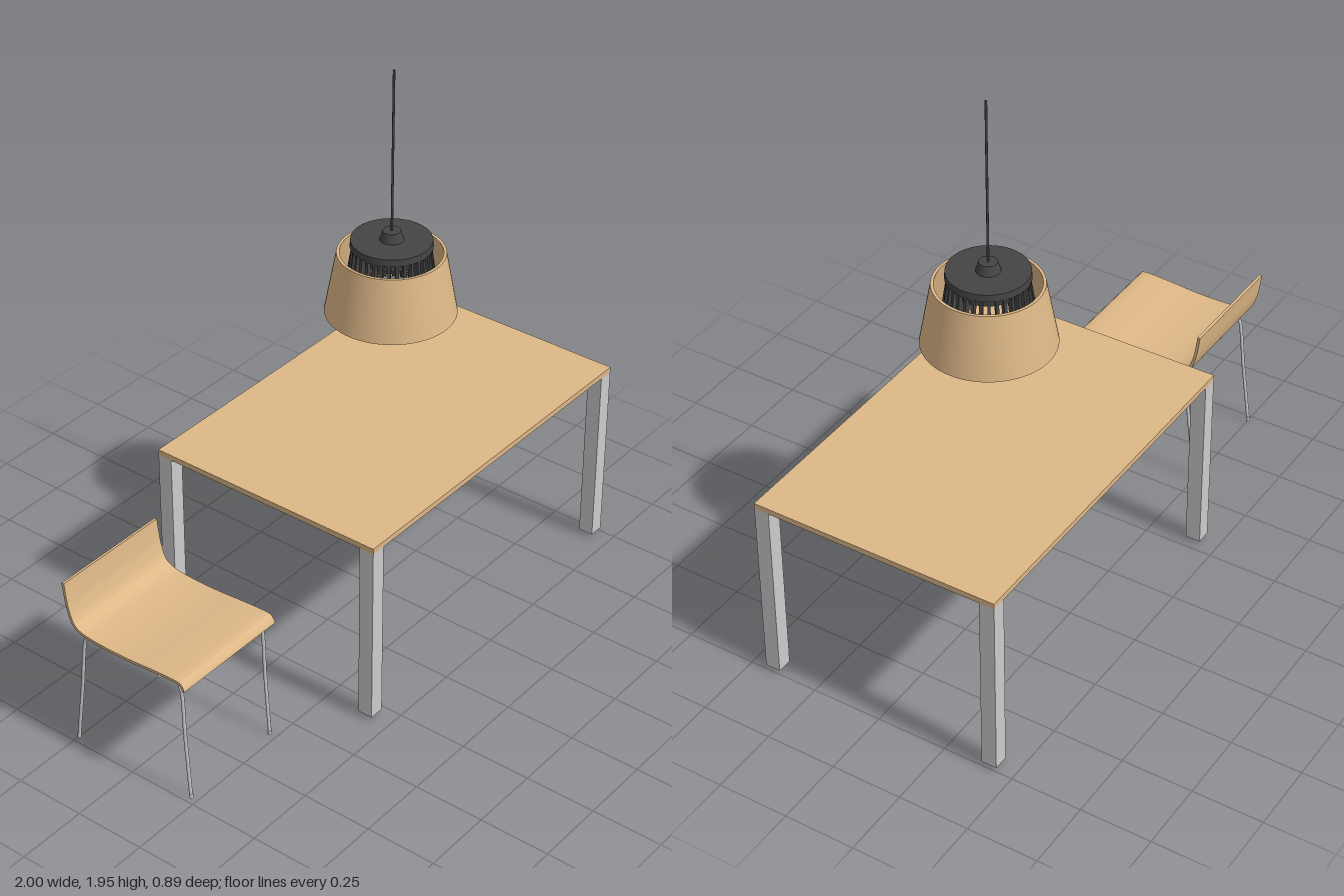
import * as THREE from 'three';
import { toCreasedNormals } from 'three/addons/utils/BufferGeometryUtils.js';

const wood = new THREE.MeshStandardMaterial({ color: 0xdeb887 });
const dark = new THREE.MeshStandardMaterial({ color: 0x444444 });
const metal = new THREE.MeshStandardMaterial({ color: 0xcccccc });

function add(parent, name, geometry, material, x = 0, y = 0, z = 0) {
  const mesh = new THREE.Mesh(geometry, material);
  mesh.name = name;
  mesh.position.set(x, y, z);
  parent.add(mesh);
  return mesh;
}

function group(parent, name, x = 0) {
  const g = new THREE.Group();
  g.name = name;
  g.position.x = x;
  parent.add(g);
  return g;
}

// Round rod through a list of [x, y, z] points with softly bent corners
function rod(points, radius) {
  const curve = new THREE.CatmullRomCurve3(points.map(p => new THREE.Vector3(...p)), false, 'centripetal');
  return new THREE.TubeGeometry(curve, 40, radius, 10);
}

function buildTable(parent) {
  const table = group(parent, 'table', 0.333);
  const w = 1.332, d = 0.886, leg = 0.054;
  add(table, 'tableTop', new THREE.BoxGeometry(w, 0.02, d), wood, 0, 0.681, 0);
  for (const sx of [-1, 1]) for (const sz of [-1, 1]) {
    add(table, 'tableLeg', new THREE.BoxGeometry(leg, 0.656, leg), metal,
      sx * (w - leg) / 2, 0.343, sz * (d - leg) / 2);
  }
}

function buildChair(parent) {
  const chair = group(parent, 'chair', -0.781);

  // Bent plywood shell: a side profile given thickness, drawn out across the width
  const spine = new THREE.SplineCurve([
    [0.228, 0.439], [0.219, 0.456], [0.2, 0.464], [0.11, 0.461], [0, 0.453], [-0.1, 0.452],
    [-0.18, 0.459], [-0.222, 0.481], [-0.242, 0.53], [-0.251, 0.575], [-0.258, 0.627],
  ].map(p => new THREE.Vector2(...p)));
  const upper = [], lower = [], steps = 60, half = 0.005;
  for (let i = 0; i <= steps; i++) {
    const p = spine.getPoint(i / steps), t = spine.getTangent(i / steps);
    const n = new THREE.Vector2(t.y, -t.x).multiplyScalar(half);
    upper.push(p.clone().add(n));
    lower.push(p.clone().sub(n));
  }
  const shell = new THREE.ExtrudeGeometry(new THREE.Shape([...upper, ...lower.reverse()]),
    { depth: 0.438, bevelEnabled: false });
  shell.translate(0, 0, -0.219).rotateY(-Math.PI / 2);
  add(chair, 'seatShell', toCreasedNormals(shell, 0.7), wood);

  // Side frames: front leg, seat rail and back leg in one bent rod
  for (const s of [-1, 1]) {
    const x = s * 0.195;
    add(chair, 'sideFrame', rod([
      [x, 0.004, 0.224], [x, 0.22, 0.209], [x, 0.435, 0.195], [x, 0.444, 0.186],
      [x, 0.444, 0], [x, 0.444, -0.183], [x, 0.435, -0.193], [x, 0.22, -0.221], [x, 0.004, -0.249],
    ], 0.006), metal);
    for (const z of [0.224, -0.249]) {
      add(chair, 'foot', new THREE.CylinderGeometry(0.007, 0.007, 0.016, 10), metal, x, 0.008, z);
    }
  }
  // Cross rails under the seat
  for (const z of [0.17, -0.17]) {
    add(chair, 'crossRail', rod([[-0.195, 0.444, z], [0, 0.444, z], [0.195, 0.444, z]], 0.006), metal);
  }
}

function buildLamp(parent) {
  const lamp = group(parent, 'pendantLamp', 0.333);

  // Hollow tapered shade
  const profile = [[0.219, 1.077], [0.179, 1.296], [0.169, 1.296], [0.209, 1.077], [0.219, 1.077]]
    .map(p => new THREE.Vector2(...p));
  add(lamp, 'shade', toCreasedNormals(new THREE.LatheGeometry(profile, 64), 0.7), wood);

  // Cap, cable holder and cable
  add(lamp, 'capPlate', new THREE.CylinderGeometry(0.134, 0.136, 0.024, 48), dark, 0, 1.331, 0);
  add(lamp, 'capCore', new THREE.CylinderGeometry(0.118, 0.118, 0.03, 48), dark, 0, 1.305, 0);
  add(lamp, 'cableHolder', new THREE.CylinderGeometry(0.03, 0.04, 0.033, 32), dark, 0, 1.359, 0);
  add(lamp, 'cable', new THREE.CylinderGeometry(0.004, 0.004, 0.58, 10), dark, 0, 1.66, 0);

  // Ring of radial slats hanging inside the shade
  const slatShape = new THREE.Shape([
    [0.11, 1.32], [0.133, 1.32], [0.133, 1.295], [0.16, 1.12], [0.14, 1.12], [0.11, 1.295],
  ].map(p => new THREE.Vector2(...p)));
  const slat = new THREE.ExtrudeGeometry(slatShape, { depth: 0.01, bevelEnabled: false });
  slat.translate(0, 0, -0.005);
  const slats = group(lamp, 'slats');
  const count = 32;
  for (let i = 0; i < count; i++) {
    add(slats, 'slat', slat, dark).rotation.y = i / count * Math.PI * 2;
  }
  const ring = new THREE.TorusGeometry(0.16, 0.005, 8, 64).rotateX(Math.PI / 2);
  add(lamp, 'slatRing', ring, dark, 0, 1.122, 0);
}

export function createModel() {
  const model = new THREE.Group();
  model.name = 'diningSet';
  buildTable(model);
  buildChair(model);
  buildLamp(model);
  return model;
}
